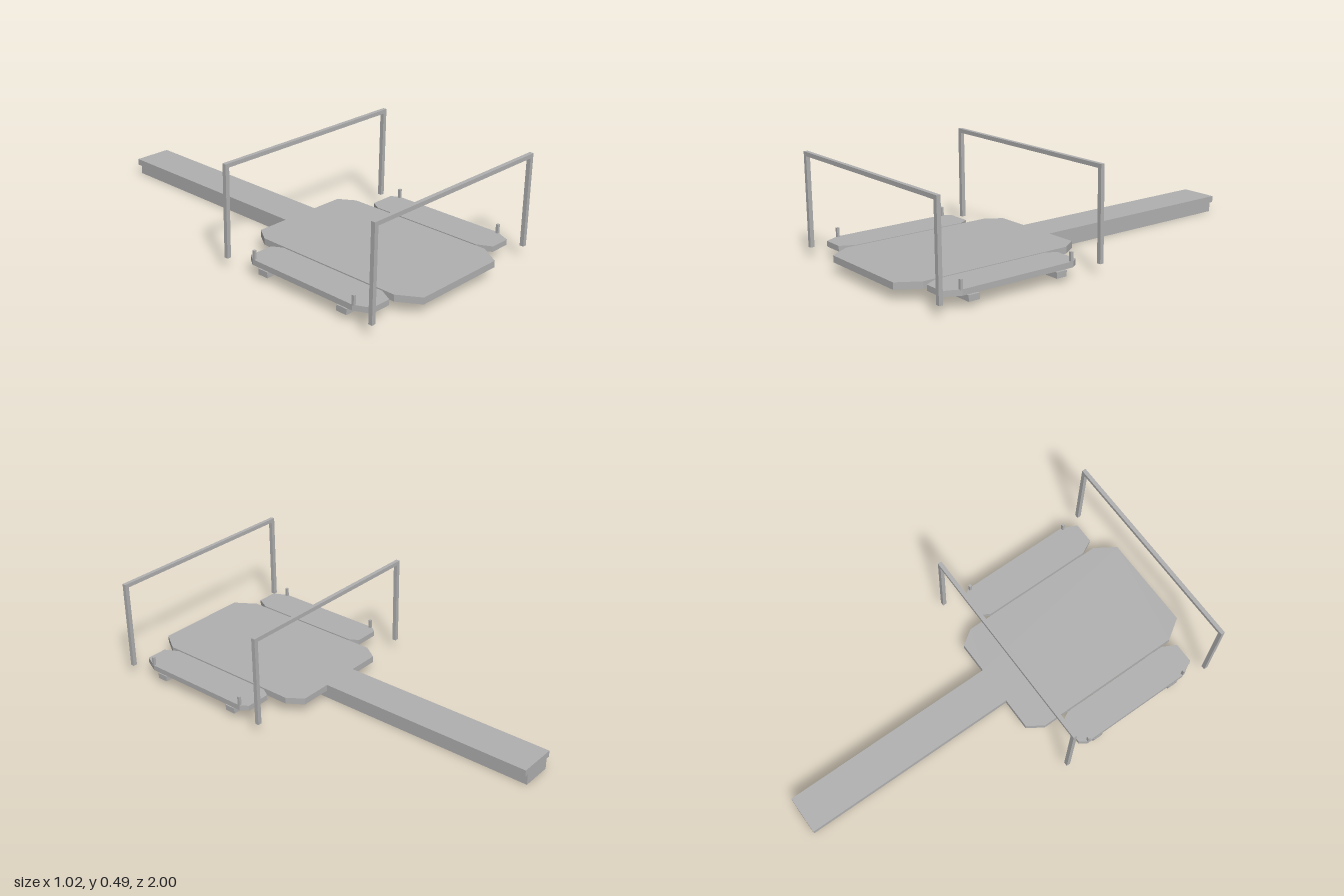
import * as THREE from 'three';

export function createModel() {
  const model = new THREE.Group();
  model.name = 'floatingDock';
  const grey = new THREE.MeshStandardMaterial({ color: 0xb0b0b0 });
  grey.name = 'grey';

  // Box given by its limits on each axis
  function box(name, [x0, x1], [y0, y1], [z0, z1], parent = model) {
    const mesh = new THREE.Mesh(new THREE.BoxGeometry(x1 - x0, y1 - y0, z1 - z0), grey);
    mesh.position.set((x0 + x1) / 2, (y0 + y1) / 2, (z0 + z1) / 2);
    mesh.name = name;
    parent.add(mesh);
  }

  // Flat slab from an outline of [x, z] points
  function slab(name, outline, y0, y1) {
    const shape = new THREE.Shape(outline.map(([x, z]) => new THREE.Vector2(x, -z)));
    const geometry = new THREE.ExtrudeGeometry(shape, { depth: y1 - y0, bevelEnabled: false });
    geometry.rotateX(-Math.PI / 2);
    geometry.translate(0, y0, 0);
    const mesh = new THREE.Mesh(geometry, grey);
    mesh.name = name;
    model.add(mesh);
  }

  // Main deck with cut corners, running back into the long walkway
  const half = [[0.235, 1], [0.3, 0.9], [0.3, 0.155], [0.25, 0.08], [0.094, 0.08], [0.094, -1]];
  const mirrored = half.map(([x, z]) => [-x, z]).reverse();
  slab('mainDeckAndWalkway', [...half, ...mirrored], 0.052, 0.083);

  // Keel under the walkway
  box('walkwayKeel', [-0.075, 0.075], [0, 0.052], [-1, 0.148]);

  // Side decks with short posts at the outer corners
  const side = [
    [0.445, 0.912], [0.48, 0.838], [0.48, 0.27], [0.455, 0.235],
    [0.335, 0.235], [0.308, 0.282], [0.308, 0.845], [0.343, 0.912],
  ];
  for (const s of [1, -1]) {
    const label = s > 0 ? 'left' : 'right';
    slab(label + 'SideDeck', side.map(([x, z]) => [s * x, z]), 0.057, 0.083);
    for (const z of [0.276, 0.841]) {
      const x = s > 0 ? [0.467, 0.48] : [-0.48, -0.467];
      box(label + 'MooringPost', x, [0.08, 0.125], [z - 0.006, z + 0.006]);
    }
  }

  // Cross beams joining the decks from below
  for (const z of [0.333, 0.782]) {
    box('crossBeam', [-0.48, 0.48], [0.025, 0.052], [z - 0.027, z + 0.027]);
  }

  // Two tall open frames spanning the decks
  for (const z of [0.136, 0.96]) {
    const frame = new THREE.Group();
    frame.name = z < 0.5 ? 'backFrame' : 'frontFrame';
    const depth = [z - 0.0095, z + 0.0095];
    box('framePost', [-0.51, -0.49], [0.052, 0.467], depth, frame);
    box('framePost', [0.49, 0.51], [0.052, 0.467], depth, frame);
    box('frameTop', [-0.51, 0.51], [0.467, 0.486], depth, frame);
    model.add(frame);
  }

  return model;
}
